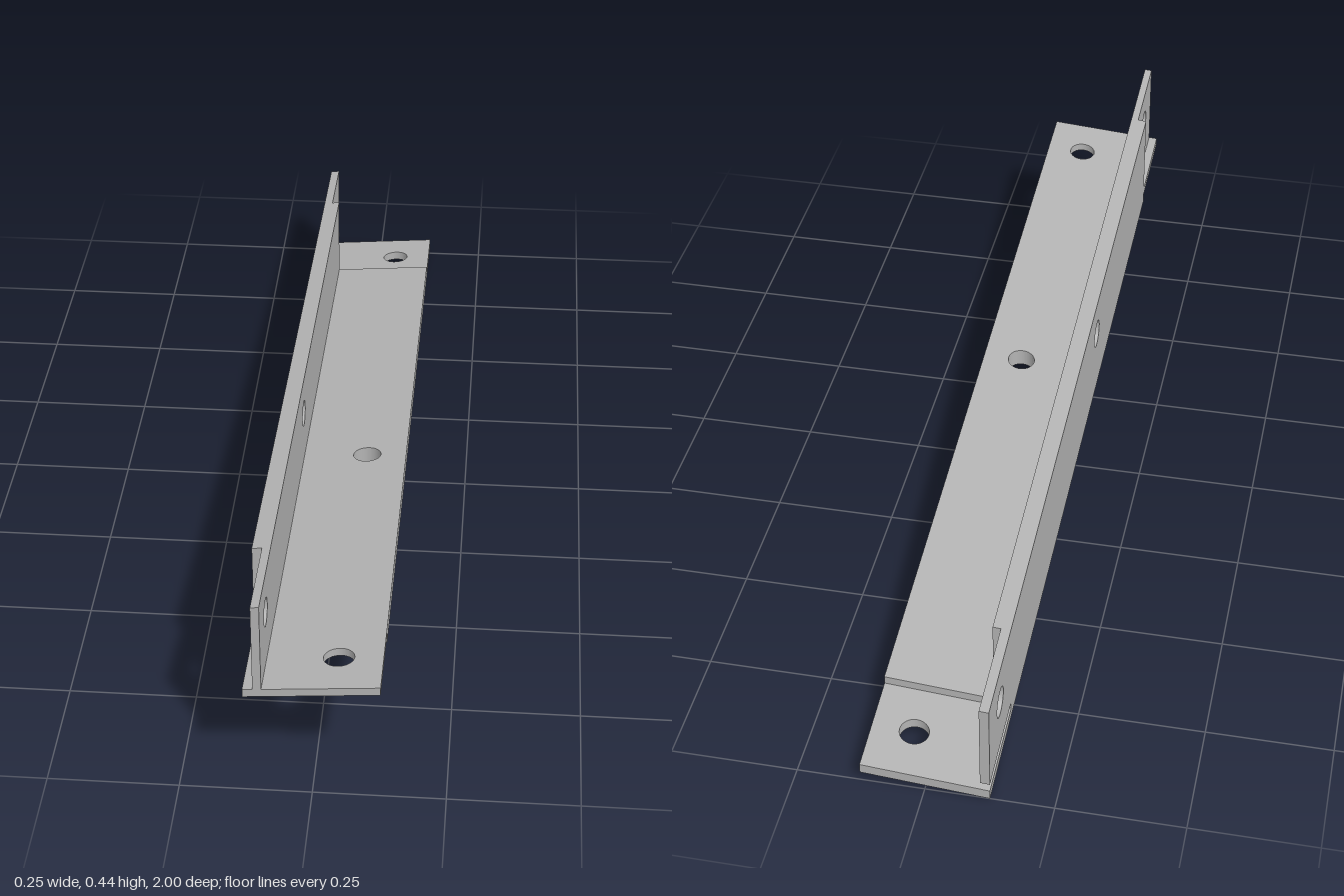
import * as THREE from 'three';

const HOLES_Z = [-0.9, 0.14, 0.9];
const HOLE_R = 0.029;

// The whole angle bar slopes up towards the front and slightly up towards +x
const SLOPE = new THREE.Matrix4().set(
  1, 0, 0, 0,
  0.078, 1, 0.1027, 0,
  0, 0, 1, 0,
  0, 0, 0, 1
);

const X = new THREE.Vector3(1, 0, 0);
const Y = new THREE.Vector3(0, 1, 0);
const Z = new THREE.Vector3(0, 0, 1);

// Rectangle a0..a1 by b0..b1 with round holes, extruded from c0 to c1 along the third axis
function plate([a0, a1], [b0, b1], [c0, c1], holes, axes) {
  const shape = new THREE.Shape();
  shape.moveTo(a0, b0).lineTo(a1, b0).lineTo(a1, b1).lineTo(a0, b1).closePath();
  for (const [a, b] of holes) {
    shape.holes.push(new THREE.Path().absarc(a, b, HOLE_R, 0, Math.PI * 2, true));
  }
  const geo = new THREE.ExtrudeGeometry(shape, { depth: c1 - c0, bevelEnabled: false, curveSegments: 32 });
  geo.translate(0, 0, c0);
  geo.applyMatrix4(new THREE.Matrix4().makeBasis(...axes));
  geo.applyMatrix4(SLOPE);
  return geo;
}

// Horizontal flange layer
function flange(zRange, yRange) {
  const holes = HOLES_Z.filter((z) => z > zRange[0] && z < zRange[1]).map((z) => [z, 0.043]);
  return plate(zRange, [-0.126, 0.126], yRange, holes, [Z, X, Y]);
}

// Upright web layer
function web(zRange, xRange) {
  const holes = HOLES_Z.filter((z) => z > zRange[0] && z < zRange[1]).map((z) => [0.259, z]);
  return plate([0.15, 0.3395], zRange, xRange, holes, [Y, Z, X]);
}

export function createModel() {
  const group = new THREE.Group();
  group.name = 'lappedAngleBar';
  const steel = new THREE.MeshStandardMaterial({ color: 0xb3b3b3 });
  steel.name = 'steelGrey';

  const add = (name, geo) => {
    const mesh = new THREE.Mesh(geo, steel);
    mesh.name = name;
    group.add(mesh);
  };

  // Layers are offset at both ends to leave half-lap joints
  const back = [-1, 0.8];
  const front = [-0.8, 1];
  add('lowerFlange', flange(back, [0.1126, 0.133]));
  add('upperFlange', flange(front, [0.133, 0.15]));
  add('outerWeb', web(back, [-0.126, -0.107]));
  add('innerWeb', web(front, [-0.107, -0.091]));

  return group;
}
